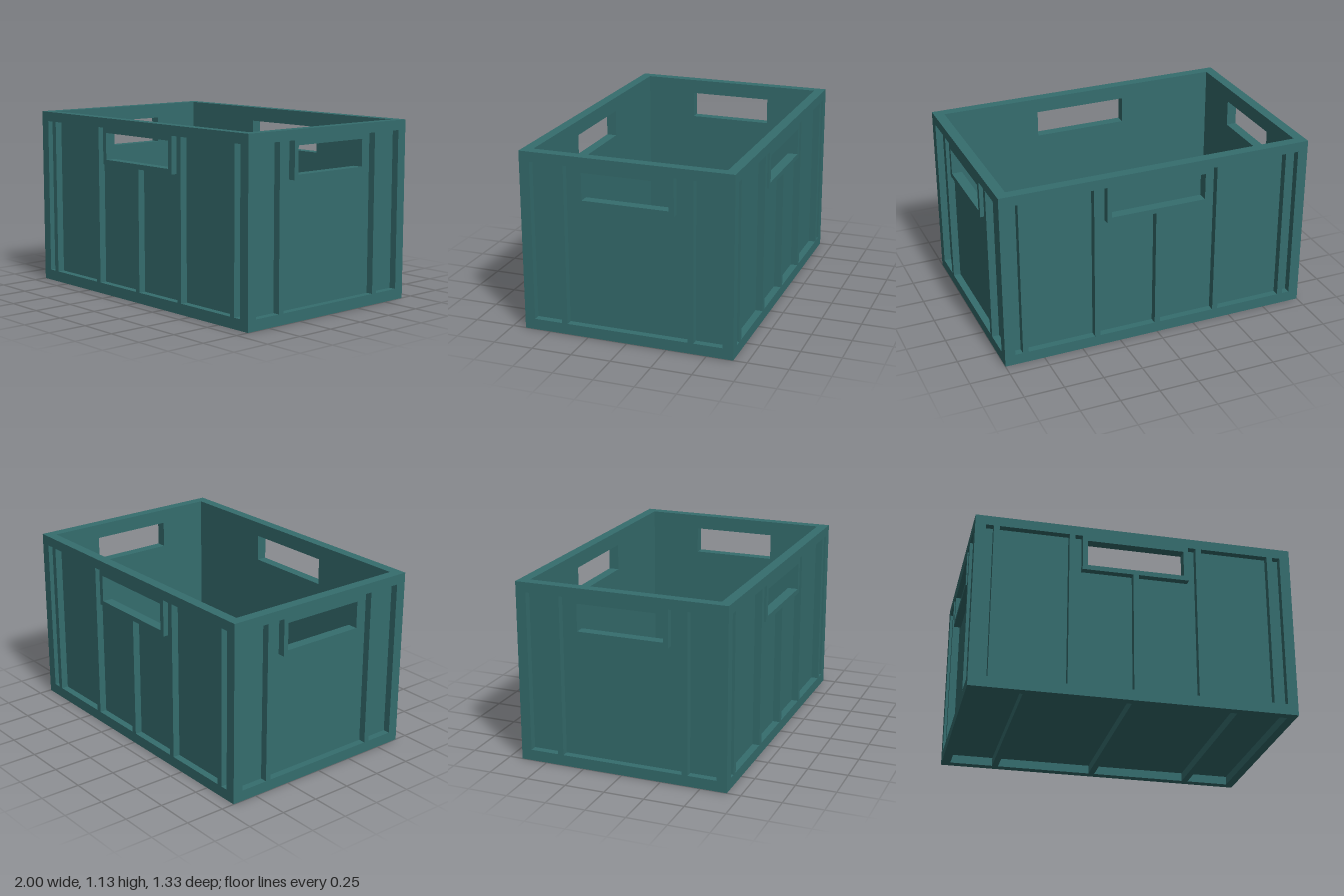
import * as THREE from 'three';

export function createModel() {
  const crate = new THREE.Group();
  crate.name = 'crate';
  const plastic = new THREE.MeshStandardMaterial({ color: 0x356d6e });
  plastic.name = 'teal plastic';

  // Box given by its minimum and maximum on each axis
  const box = (parent, name, x0, x1, y0, y1, z0, z1) => {
    const mesh = new THREE.Mesh(new THREE.BoxGeometry(x1 - x0, y1 - y0, z1 - z0), plastic);
    mesh.name = name;
    mesh.position.set((x0 + x1) / 2, (y0 + y1) / 2, (z0 + z1) / 2);
    parent.add(mesh);
  };

  const X = 1, Z = 0.665;              // outer half sizes
  const POST = 0.065, RAIL = 0.055;    // corner post and base rail widths
  const FLOOR = 0.055, WALL = 0.068, SILL = 0.868, LINTEL = 1.037, RIM = 1.068, TOP = 1.13;

  // One side facing +z: wall panels around the grip opening, grip frame and ribs
  const side = (name, half, out, grip, ribs, centreRib, turn) => {
    const g = new THREE.Group();
    g.name = name;
    const inner = out - POST, face = inner + 0.02, end = half - POST, lip = grip + 0.031;
    box(g, 'lowerWall', -end, end, WALL, SILL, inner, face);
    box(g, 'wallAboveGrip', -grip, grip, LINTEL, RIM, inner, face);
    box(g, 'gripFrameBottom', -lip, lip, SILL - 0.031, SILL, face, out);
    box(g, 'gripFrameTop', -lip, lip, LINTEL, RIM, face, out);
    for (const s of [-1, 1]) {
      const mirrored = (part, a, b, ...rest) =>
        box(g, part, Math.min(s * a, s * b), Math.max(s * a, s * b), ...rest);
      mirrored('upperWall', grip, end, SILL, RIM, inner, face);
      mirrored('gripFrameSide', grip, lip, SILL, LINTEL, face, out);
      for (const x of ribs) mirrored('rib', x - 0.018, x + 0.018, WALL, RIM, face, out);
    }
    if (centreRib) box(g, 'centreRib', -0.018, 0.018, WALL, SILL - 0.031, face, out);
    g.rotation.y = turn;
    crate.add(g);
  };
  for (const k of [0, 1]) {
    side(k ? 'backSide' : 'frontSide', X, Z, 0.304, [0.4, 0.868], true, k * Math.PI);
    side(k ? 'rightSide' : 'leftSide', Z, X, 0.27, [0.402], false, Math.PI / 2 + k * Math.PI);
  }

  // Floor plate, which also forms the thin ledge outside the walls
  box(crate, 'floor', -X, X, FLOOR, WALL, -Z, Z);

  // Rim bars, base rails and corner posts
  for (const s of [-1, 1]) {
    const span = (outer, width) => s > 0 ? [outer - width, outer] : [-outer, width - outer];
    box(crate, 'longRim', -X, X, RIM, TOP, ...span(Z, POST));
    box(crate, 'shortRim', ...span(X, POST), RIM, TOP, POST - Z, Z - POST);
    box(crate, 'longBaseRail', -X, X, 0, FLOOR, ...span(Z, RAIL));
    box(crate, 'shortBaseRail', ...span(X, RAIL), 0, FLOOR, RAIL - Z, Z - RAIL);
    for (const z of [[-Z, POST - Z], [Z - POST, Z]])
      box(crate, 'cornerPost', ...span(X, POST), WALL, RIM, ...z);
  }

  // Cross bars under the floor
  for (const x of [-0.65, 0, 0.65])
    box(crate, 'floorBar', x - 0.02, x + 0.02, 0, FLOOR, RAIL - Z, Z - RAIL);

  return crate;
}
